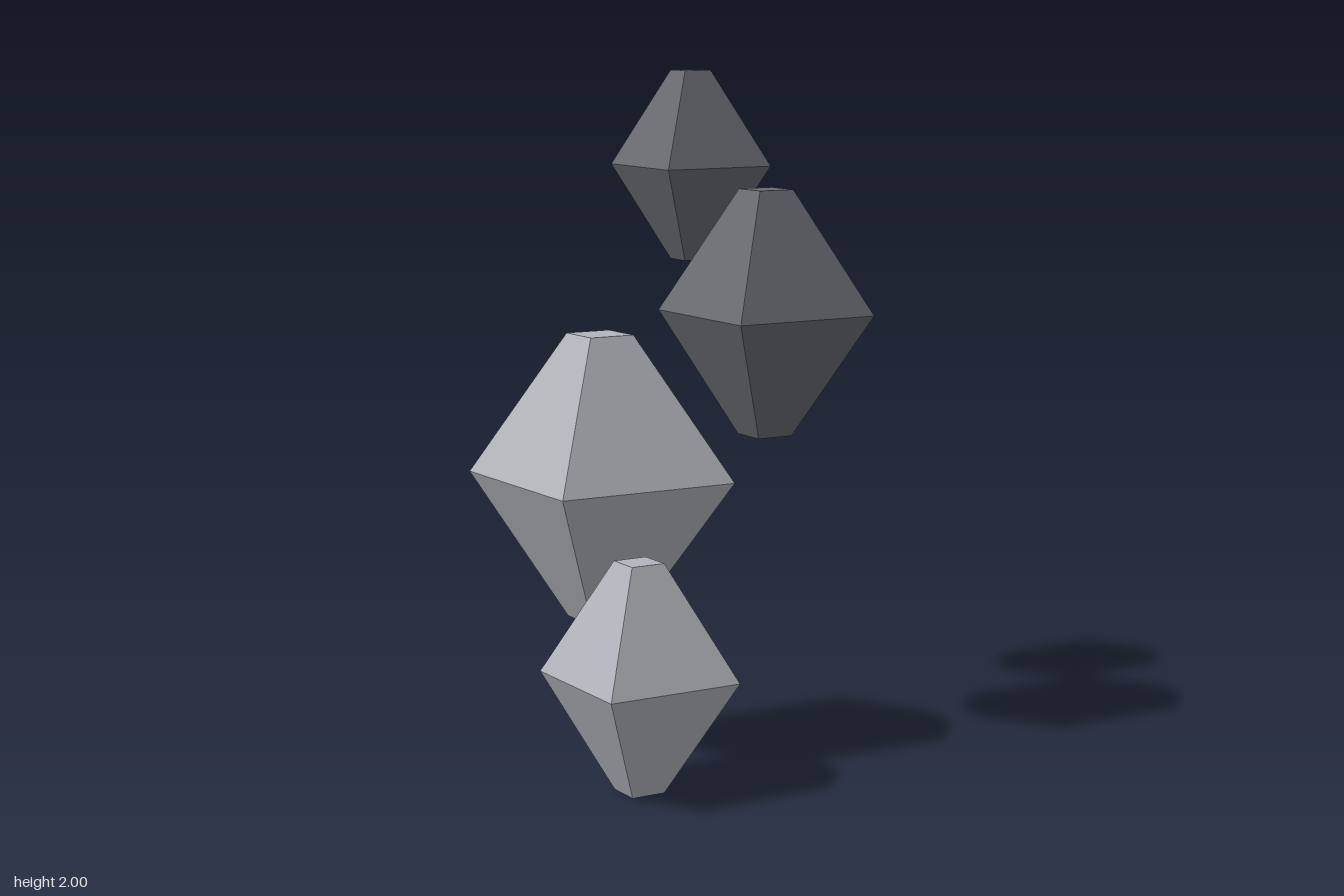
import * as THREE from 'three';

// Faceted stone: two four-sided frustums joined at the widest edge, corners on the axes
function stoneGeometry(rx, halfHeight, rz) {
  const tip = 0.25;
  const profile = [[0, -1], [tip, -1], [1, 0], [tip, 1], [0, 1]]
    .map(([r, y]) => new THREE.Vector2(r, y));
  const geometry = new THREE.LatheGeometry(profile, 4).toNonIndexed();
  geometry.scale(rx, halfHeight, rz);
  geometry.computeVertexNormals();
  return geometry;
}

export function createModel() {
  const group = new THREE.Group();
  group.name = 'floatingStones';

  const paleStone = new THREE.MeshStandardMaterial({ color: 0xb2b5bb, flatShading: true });
  paleStone.name = 'paleStone';
  const darkStone = new THREE.MeshStandardMaterial({ color: 0x696b71, flatShading: true });
  darkStone.name = 'darkStone';

  // name, material, centre, half extents
  const stones = [
    ['lowerSmallStone', paleStone, [0.026, 0.331, 0.473], [0.291, 0.331, 0.292]],
    ['lowerLargeStone', paleStone, [-0.176, 0.837, 0.152], [0.402, 0.421, 0.384]],
    ['upperLargeStone', darkStone, [0.247, 1.297, -0.152], [0.327, 0.366, 0.327]],
    ['upperSmallStone', darkStone, [-0.066, 1.709, -0.491], [0.254, 0.291, 0.273]],
  ];
  for (const [name, material, centre, size] of stones) {
    const mesh = new THREE.Mesh(stoneGeometry(...size), material);
    mesh.name = name;
    mesh.position.set(...centre);
    group.add(mesh);
  }
  return group;
}
